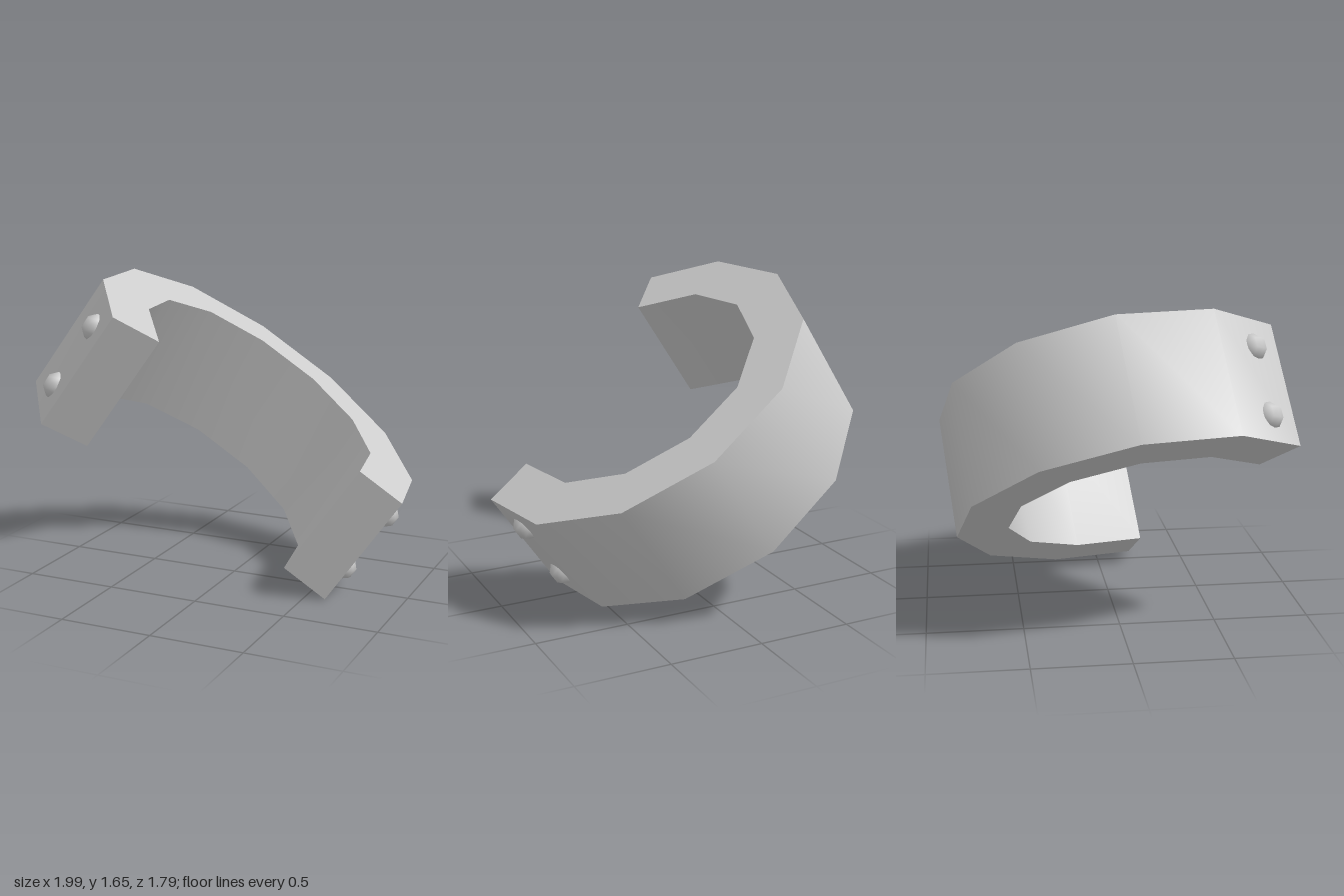
import * as THREE from 'three';
import { toCreasedNormals } from 'three/addons/utils/BufferGeometryUtils.js';

const OUTER = 0.985, INNER = 0.707, HEIGHT = 0.673, EXTENSION = 0.2;
const STEP = Math.PI / 6, HALF = STEP / 2;

// One side of the open twelve-sided band, running from the left end to the right end
function arcPoints(radius) {
  const points = [];
  for (let i = 0; i <= 6; i++) {
    points.push(new THREE.Vector2(radius * Math.cos(i * STEP), radius * Math.sin(i * STEP)));
  }
  // Straight end pieces, cut square past the middle of a side
  const apothem = radius * Math.cos(HALF);
  const x = apothem * Math.cos(HALF) - EXTENSION * Math.sin(HALF);
  const y = -apothem * Math.sin(HALF) - EXTENSION * Math.cos(HALF);
  return [new THREE.Vector2(x, y), ...points, new THREE.Vector2(-x, y)];
}

export function createModel() {
  const group = new THREE.Group();
  group.name = 'openCuff';
  const material = new THREE.MeshStandardMaterial({ color: 0xcccccc });

  // Tilted frame of the cuff: local z is the ring axis
  const cuff = new THREE.Group();
  cuff.name = 'cuff';
  const axis = new THREE.Vector3(0.565, 0.817, -0.111).normalize();
  const across = new THREE.Vector3(0.73, -0.558, -0.395).normalize();
  const back = new THREE.Vector3().crossVectors(axis, across).normalize();
  across.crossVectors(back, axis);
  cuff.quaternion.setFromRotationMatrix(new THREE.Matrix4().makeBasis(across, back, axis));
  cuff.position.set(0.19, 1.105, 0.07);
  group.add(cuff);

  // C-shaped band
  const outline = new THREE.Shape([...arcPoints(OUTER), ...arcPoints(INNER).reverse()]);
  const bandGeometry = new THREE.ExtrudeGeometry(outline, { depth: HEIGHT, bevelEnabled: false });
  bandGeometry.translate(0, 0, -HEIGHT);
  const band = new THREE.Mesh(toCreasedNormals(bandGeometry, 0.7), material);
  band.name = 'band';
  cuff.add(band);

  // Two half-sunk rivets on the outside of each end
  const rivetGeometry = new THREE.SphereGeometry(0.075, 8, 6);
  rivetGeometry.rotateY(Math.PI / 8);
  const distance = OUTER * Math.cos(HALF) - 0.024;
  for (const side of [1, -1]) {
    for (const z of [-0.155, -HEIGHT + 0.145]) {
      const rivet = new THREE.Mesh(rivetGeometry, material);
      rivet.name = side > 0 ? 'leftRivet' : 'rightRivet';
      rivet.position.set(
        side * (distance * Math.cos(HALF) - 0.02 * Math.sin(HALF)),
        -distance * Math.sin(HALF) - 0.02 * Math.cos(HALF),
        z
      );
      rivet.rotation.z = -side * HALF;
      cuff.add(rivet);
    }
  }
  return group;
}
